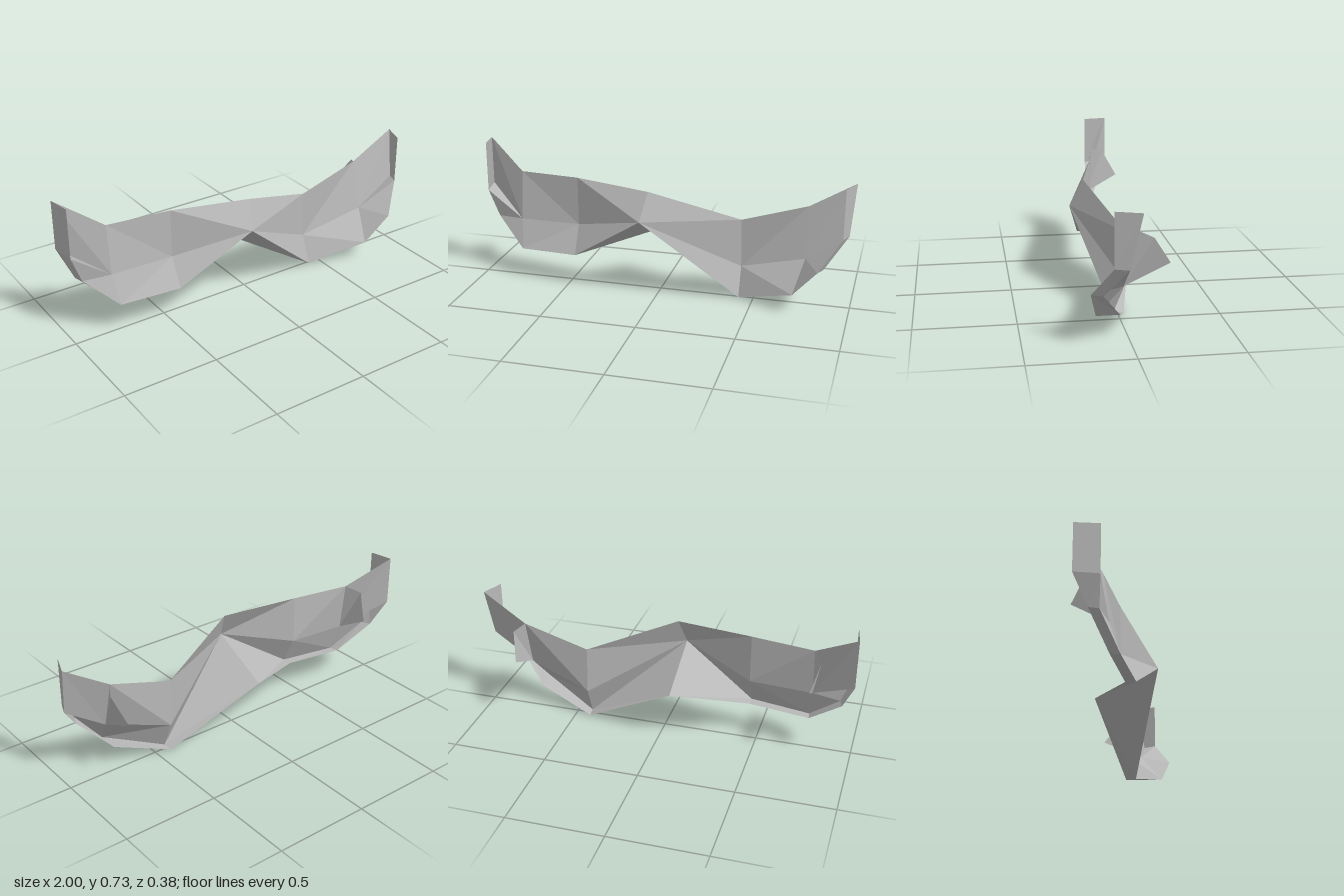
import * as THREE from 'three';

const shellGrey = new THREE.MeshStandardMaterial({ color: 0xb8b8b8 });
shellGrey.name = 'shell grey';
shellGrey.side = THREE.DoubleSide;
shellGrey.flatShading = true;

// Flat-shaded sheet from a list of triangles
function sheet(name, triangles) {
  const geometry = new THREE.BufferGeometry();
  geometry.setAttribute('position', new THREE.Float32BufferAttribute(triangles.flat(2), 3));
  geometry.computeVertexNormals();
  const mesh = new THREE.Mesh(geometry, shellGrey);
  mesh.name = name;
  return mesh;
}

// Triangles between two edges with matching points
function ribbon(a, b) {
  const out = [];
  for (let i = 0; i + 1 < a.length; i++) {
    if (a[i] !== b[i]) out.push([a[i], b[i], a[i + 1]]);
    out.push([b[i], b[i + 1], a[i + 1]]);
  }
  return out;
}

// Triangles around one corner
function fan(centre, rim) {
  return rim.slice(1).map((p, i) => [centre, rim[i], p]);
}

// Shared centre line: brow, bridge and the back of the bridge
const brow = [-0.04, 0.575, 0.11];
const bridge = [-0.07, 0.43, 0.18];
const bridgeBack = [-0.065, 0.275, -0.15];

// Each side runs outward from the bridge: inner, outer, (cheek), end
const sides = {
  left: {
    top: [[0.42, 0.415, -0.04], [0.765, 0.52, -0.04], [1, 0.665, -0.02]],
    fold: [[0.425, 0.157, -0.04], [0.765, 0.26, 0.028], [0.98, 0.405, 0.035]],
    front: [[0.425, 0.005, 0.023], [0.72, 0.105, 0.15], [0.845, 0.253, 0.19], [0.955, 0.405, 0.1]],
    back: [[0.42, 0, -0.03], [0.72, 0.105, 0.035], [0.87, 0.253, 0.135]],
    tip: [0.955, 0.665, 0.1],
    fin: [[0.805, 0.497, -0.105], [0.765, 0.363, -0.19]],
  },
  right: {
    top: [[-0.45, 0.59, 0.02], [-0.78, 0.585, -0.03], [-1, 0.73, -0.145]],
    fold: [[-0.45, 0.33, 0.02], [-0.78, 0.325, 0.0], [-1, 0.47, -0.145]],
    front: [[-0.45, 0.18, 0.095], [-0.765, 0.17, 0.05], [-0.925, 0.32, -0.03], [-0.98, 0.465, -0.02]],
    back: [[-0.45, 0.18, 0.042], [-0.77, 0.172, 0.0], [-0.94, 0.32, -0.08]],
    tip: [-0.98, 0.73, -0.02],
    fin: [[-0.825, 0.56, -0.105], [-0.785, 0.425, -0.18]],
  },
};

export function createModel() {
  const model = new THREE.Group();
  model.name = 'foldedBand';
  for (const [side, s] of Object.entries(sides)) {
    const group = new THREE.Group();
    group.name = side + 'Half';
    const end = s.fold[2];
    const corner = s.fold[1];

    // Upright upper wall
    group.add(sheet('upperWall', ribbon([brow, ...s.top], [bridge, ...s.fold])));

    // Lower wall sloping forward, with a fan around the outer fold
    group.add(sheet('lowerWall', [
      ...ribbon([bridge, ...s.front.slice(0, 2)], [bridge, ...s.fold.slice(0, 2)]),
      ...fan(corner, [...s.front.slice(1), end]),
    ]));

    // Narrow lip under the lower edge
    group.add(sheet('lowerLip', ribbon([bridge, ...s.front], [bridgeBack, ...s.back, end])));

    // Forward flap on the outer end
    group.add(sheet('endFlap', ribbon([s.tip, s.front[3]], [s.top[2], end])));

    // Small fin on the back
    group.add(sheet('backFin', fan(corner, [s.top[1], ...s.fin])));
    model.add(group);
  }
  return model;
}
